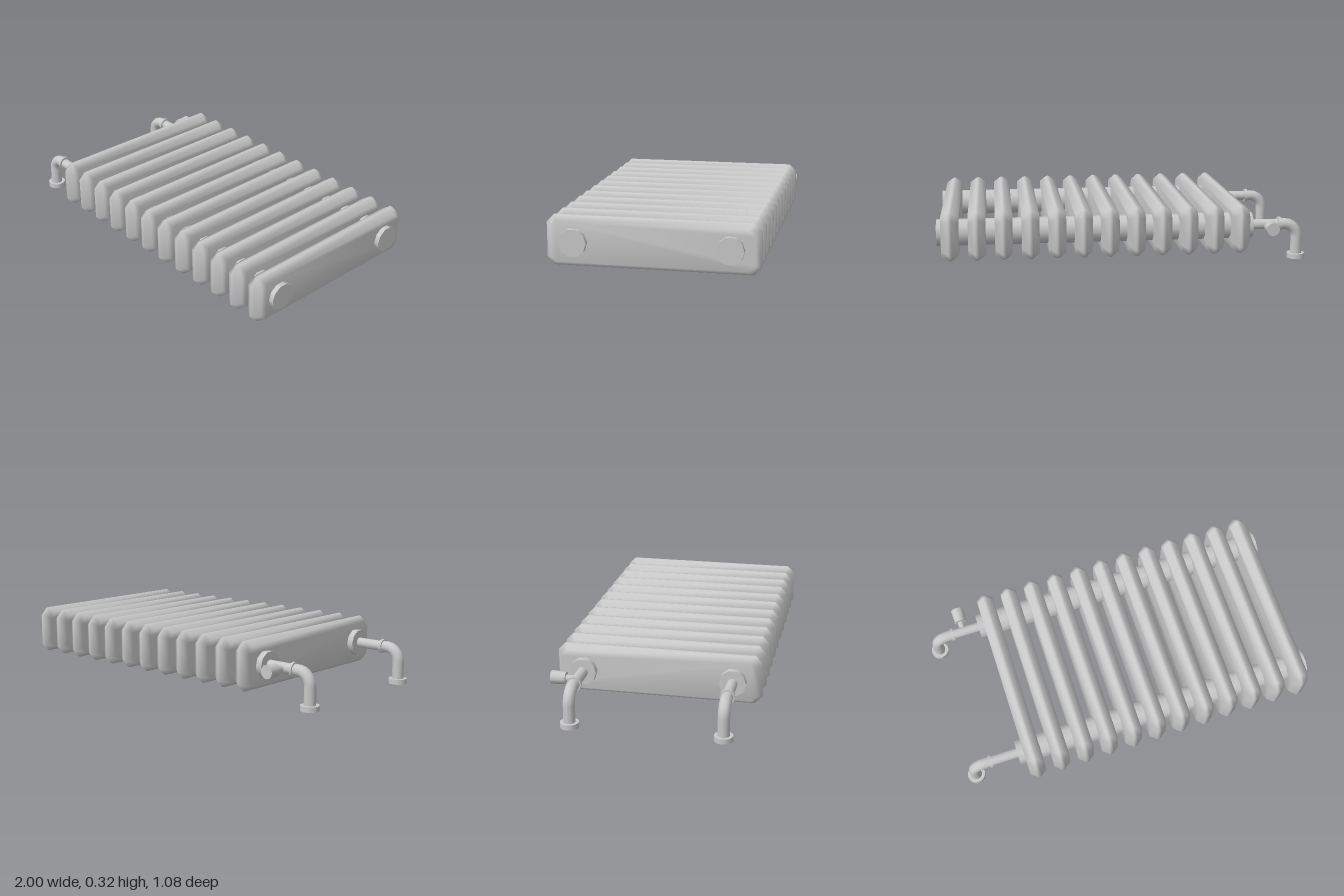
import * as THREE from 'three';

const metal = new THREE.MeshStandardMaterial({ color: 0xc8c8c8 });
metal.name = 'greyMetal';

const Y = 0.191; // height of the pipe axes
const Z = 0.393; // distance of the pipe axes from the middle

// Bevelled, softly shaded fin: octagonal outlines stacked along x
function finGeometry() {
  const rings = [[-0.046, 0.027], [-0.01, 0.002], [0, 0], [0.01, 0.002], [0.046, 0.027]];
  const pos = [], index = [], n = 8;
  for (const [x, inset] of rings) {
    const h = 0.13 - inset, w = 0.542 - inset, c = 0.04 - inset * 0.3;
    const outline = [[h, w - c], [h - c, w], [c - h, w], [-h, w - c],
      [-h, c - w], [c - h, -w], [h - c, -w], [h, c - w]];
    for (const [y, z] of outline) pos.push(x, y, z);
  }
  for (let i = 0; i < rings.length - 1; i++) {
    for (let j = 0; j < n; j++) {
      const a = i * n + j, b = i * n + (j + 1) % n;
      index.push(a, b, b + n, a, b + n, a + n);
    }
  }
  // End faces
  const last = (rings.length - 1) * n;
  for (let j = 1; j < n - 1; j++) {
    index.push(0, j + 1, j, last, last + j, last + j + 1);
  }
  const g = new THREE.BufferGeometry();
  g.setAttribute('position', new THREE.Float32BufferAttribute(pos, 3));
  g.setIndex(index);
  g.computeVertexNormals();
  return g;
}

function add(parent, name, geometry, x, y, z) {
  const m = new THREE.Mesh(geometry, metal);
  m.name = name;
  m.position.set(x, y, z);
  parent.add(m);
  return m;
}

// Cylinder lying along x between two ends
function pipeX(parent, name, r, x0, x1, z, sides) {
  const g = new THREE.CylinderGeometry(r, r, x1 - x0, sides);
  g.rotateZ(Math.PI / 2);
  g.rotateX(Math.PI / 2);
  return add(parent, name, g, (x0 + x1) / 2, Y, z);
}

export function createModel() {
  const model = new THREE.Group();
  model.name = 'radiator';

  // Row of fins
  const fin = finGeometry();
  for (let i = 0; i < 12; i++) add(model, 'fin', fin, -0.615 + i * 0.14, 0.19, 0);

  for (const z of [-Z, Z]) {
    // Header pipe through all fins
    const header = pipeX(model, 'headerPipe', 0.071, -0.695, 0.997, z, 10);
    header.geometry.rotateX(Math.PI / 2);

    // Connecting pipe with collar, elbow and floor flange
    const supply = new THREE.Group();
    supply.name = 'supplyPipe';
    model.add(supply);
    pipeX(supply, 'connector', 0.028, -0.85, -0.69, z, 12);
    pipeX(supply, 'collar', 0.039, -0.858, -0.842, z, 12);
    pipeX(supply, 'elbowStub', 0.031, -0.88, -0.85, z, 12);
    const elbow = new THREE.TorusGeometry(0.07, 0.031, 12, 5, Math.PI / 2);
    elbow.rotateZ(Math.PI / 2);
    add(supply, 'elbow', elbow, -0.88, Y - 0.07, z);
    add(supply, 'downPipe', new THREE.CylinderGeometry(0.031, 0.031, 0.11, 12), -0.95, Y - 0.125, z);
    add(supply, 'floorFlange', new THREE.CylinderGeometry(0.049, 0.049, 0.027, 16), -0.95, 0.0135, z);
  }

  // Valve on the back pipe
  const valve = new THREE.Group();
  valve.name = 'valve';
  model.add(valve);
  const stem = new THREE.CylinderGeometry(0.018, 0.018, 0.07, 10);
  stem.rotateX(-Math.PI / 2);
  add(valve, 'valveStem', stem, -0.785, Y, -0.428);
  const knob = new THREE.CylinderGeometry(0.032, 0.036, 0.078, 12);
  knob.rotateX(Math.PI / 2);
  add(valve, 'valveKnob', knob, -0.785, Y, -0.492);

  return model;
}
